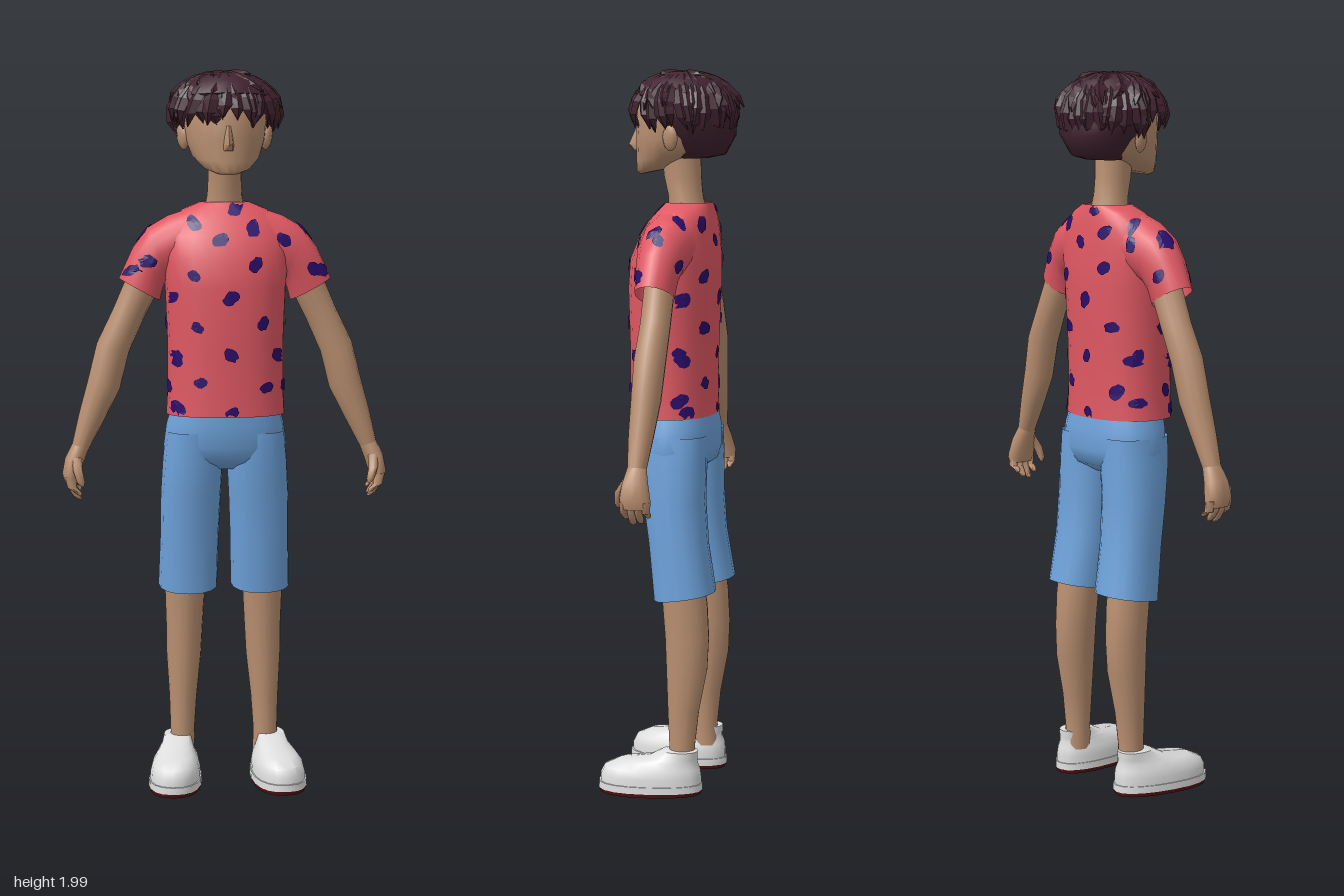
import * as THREE from 'three';
import { toCreasedNormals } from 'three/addons/utils/BufferGeometryUtils.js';

const mat = (name, color, double) => {
  const m = new THREE.MeshStandardMaterial({ color });
  m.name = name;
  if (double) m.side = THREE.DoubleSide;
  return m;
};

// Skin over rings: [x, y, z, halfWidth, halfDepth, roll = 0, slopeZ = 0].
// roll tilts a ring in the xy plane, slopeZ raises it towards +z; s = -1 mirrors it.
function loft(rings, { s = 1, sides = 16, power = 2, caps = true, crease = 0.95 } = {}) {
  const pos = [], idx = [];
  const bend = v => Math.sign(v) * Math.pow(Math.abs(v), 2 / power);
  for (const [x, y, z, a, b, roll = 0, slope = 0] of rings) {
    for (let i = 0; i < sides; i++) {
      const t = (i / sides) * Math.PI * 2;
      const u = a * bend(Math.cos(t)), w = b * bend(Math.sin(t));
      pos.push(s * (x + u * Math.cos(roll)), y + u * Math.sin(roll) + slope * w, z + w);
    }
  }
  for (let r = 0; r < rings.length - 1; r++) {
    for (let i = 0; i < sides; i++) {
      const j = (i + 1) % sides, p = r * sides, q = p + sides;
      idx.push(p + i, p + j, q + j, p + i, q + j, q + i);
    }
  }
  if (caps) {
    const first = rings[0], last = rings[rings.length - 1], n = pos.length / 3;
    pos.push(s * first[0], first[1], first[2], s * last[0], last[1], last[2]);
    const q = (rings.length - 1) * sides;
    for (let i = 0; i < sides; i++) {
      const j = (i + 1) % sides;
      idx.push(n, j, i, n + 1, q + i, q + j);
    }
  }
  // turn the faces outwards, judged by the enclosed volume
  const c = new THREE.Vector3(), v = [0, 1, 2].map(() => new THREE.Vector3());
  for (let i = 0; i < pos.length; i += 3) c.add(v[0].fromArray(pos, i));
  c.multiplyScalar(3 / pos.length);
  let volume = 0;
  for (let i = 0; i < idx.length; i += 3) {
    v.forEach((p, k) => p.fromArray(pos, idx[i + k] * 3).sub(c));
    volume += v[0].dot(v[1].cross(v[2]));
  }
  if (volume < 0) idx.reverse();
  const g = new THREE.BufferGeometry();
  g.setAttribute('position', new THREE.Float32BufferAttribute(pos, 3));
  g.setIndex(idx);
  return toCreasedNormals(g, crease);
}

export function createModel() {
  const model = new THREE.Group();
  const skin = mat('skin', 0xb98f70), hair = mat('hair', 0x40222e, true);
  const shirt = mat('shirt', 0xe05863, true), spot = mat('shirt spots', 0x2b0c6c, true);
  const denim = mat('shorts', 0x6ea3dc, true);
  const white = mat('shoe', 0xdedede), red = mat('sole', 0x5a1216);
  const add = (name, geo, m, parent = model) => {
    const mesh = new THREE.Mesh(geo, m);
    mesh.name = name;
    parent.add(mesh);
    return mesh;
  };

  // Head
  add('neck', loft([[0, 1.58, -.035, .06, .055], [0, 1.65, -.025, .048, .048],
    [0, 1.7, -.017, .046, .052], [0, 1.78, -.012, .05, .055]]), skin);
  add('head', loft([[0, 1.712, .066, .035, .036, 0, -.2], [0, 1.728, .045, .066, .066, 0, -.25],
    [0, 1.755, .015, .092, .096, 0, -.15], [0, 1.8, -.005, .108, .116], [0, 1.86, -.01, .114, .122],
    [0, 1.92, -.02, .105, .115], [0, 1.965, -.02, .06, .07]], { sides: 20 }), skin);
  add('nose', loft([[0, 1.835, .105, .007, .01], [0, 1.785, .112, .014, .026],
    [0, 1.77, .108, .013, .016]], { sides: 8 }), skin);
  for (const s of [1, -1]) {
    const ear = add('ear', new THREE.SphereGeometry(1, 10, 8), skin);
    ear.scale.set(.013, .035, .024);
    ear.position.set(s * .116, 1.805, -.015);
    ear.rotation.set(-.15, s * -.4, s * -.2);
  }

  // Hair: a cap under layers of pointed locks swept out from the crown
  add('hairCap', loft([[0, 1.98, -.02, .05, .05], [0, 1.957, -.02, .11, .11],
    [0, 1.91, -.022, .14, .135, 0, .1], [0, 1.855, -.035, .136, .128, 0, .35],
    [0, 1.795, -.045, .1, .09, 0, .4], [0, 1.75, -.05, .06, .04]], { sides: 20 }), hair);
  let seed = 7;
  const rand = (a, b) => a + (b - a) * ((seed = (seed * 16807) % 2147483647) / 2147483647);
  const lockPos = [];
  function lock(phi, from, to, width, lift, twist) {
    const rows = [];
    for (let k = 0; k <= 5; k++) {
      const t = k / 5, th = from + (to - from) * t, f = phi + twist * t * t;
      const r = 1 + .03 * Math.sin(Math.PI * t) + lift * t * t;
      const w = width * (k === 5 ? .02 : .45 + .9 * Math.sin(Math.PI * (.15 + .75 * t)) * .6);
      const at = (side, out) => new THREE.Vector3(
        .146 * r * out * Math.sin(th) * Math.sin(f) + side * w * Math.cos(f),
        1.87 + .11 * r * out * Math.cos(th),
        -.022 + .138 * r * out * Math.sin(th) * Math.cos(f) - side * w * Math.sin(f));
      rows.push([at(-1, .97), at(0, k === 5 ? 1 : 1.05), at(1, .97)]);
    }
    for (let k = 0; k < 5; k++) for (let i = 0; i < 2; i++) {
      const [a, b, c, d] = [rows[k][i], rows[k][i + 1], rows[k + 1][i + 1], rows[k + 1][i]];
      for (const p of [a, d, c, a, c, b]) lockPos.push(p.x, p.y, p.z);
    }
  }
  // long locks end at the fringe in front and at the nape behind
  for (let i = 0; i < 44; i++) {
    const phi = (i / 44) * Math.PI * 2, back = (1 - Math.cos(phi)) / 2;
    lock(phi, .35, 1.85 + .55 * back * back + rand(-.18, .16), .022, rand(-.04, .1) * (1 - .5 * back), rand(-.25, .25));
  }
  // short locks on top
  for (let i = 0; i < 34; i++) {
    lock(i * 2.4, rand(.02, .4), rand(.9, 1.55), .019, rand(0, .12), rand(-.4, .4));
  }
  // loose spikes on the crown and at the back
  for (const [phi, to, lift] of [[-.6, .6, .12], [.7, .55, .12], [2.2, .6, .12], [3.05, 1.45, .2], [3.65, 1.35, .2], [2.6, 1.7, .1]]) {
    lock(phi, .1, to, .015, lift, .2);
  }
  const lockGeo = new THREE.BufferGeometry();
  lockGeo.setAttribute('position', new THREE.Float32BufferAttribute(lockPos, 3));
  lockGeo.computeVertexNormals();
  add('hairLocks', lockGeo, hair);

  // Shirt
  const shirtParts = [add('shirtBody', loft([[0, 1.05, .005, .164, .116], [0, 1.12, .006, .16, .114],
    [0, 1.25, .005, .16, .116], [0, 1.4, .004, .166, .121], [0, 1.48, 0, .175, .117],
    [0, 1.54, -.01, .174, .1], [0, 1.58, -.02, .15, .087], [0, 1.61, -.03, .115, .072],
    [0, 1.63, -.036, .066, .062]], { sides: 24, power: 2.3, caps: false }), shirt)];
  for (const s of [1, -1]) {
    shirtParts.push(add('sleeve', loft([[.09, 1.53, -.015, .085, .078, 1.57], [.145, 1.512, -.012, .082, .074, 1.42],
      [.185, 1.49, -.01, .076, .066, 1.2], [.212, 1.452, -.008, .068, .058, .9],
      [.236, 1.392, -.007, .064, .052, .5]], { s, caps: false }), shirt));
  }

  // Spots: ragged discs laid on the shirt from the front, back, sides and above
  const ray = new THREE.Raycaster(), spotPos = [];
  function addSpot(map, dir, u, v) {
    const d = new THREE.Vector3(...dir);
    const hit = (p, q) => {
      ray.set(map(p, q).addScaledVector(d, -3), d);
      return ray.intersectObjects(shirtParts)[0];
    };
    const mid = hit(u, v);
    if (!mid) return;
    const size = rand(.019, .026), turn = rand(0, 3), n = 14, rings = [[], []];
    for (let i = 0; i < n; i++) {
      const t = (i / n) * Math.PI * 2, r = size * rand(.8, 1.1);
      [.5, 1].forEach((f, k) => {
        const p = r * f * Math.cos(t), q = r * f * .75 * Math.sin(t);
        const h = hit(u + p * Math.cos(turn) - q * Math.sin(turn), v + p * Math.sin(turn) + q * Math.cos(turn));
        rings[k].push(h && Math.abs(h.distance - mid.distance) < .05 ? h.point : mid.point);
      });
    }
    for (let i = 0; i < n; i++) {
      const j = (i + 1) % n, [a, b] = rings;
      for (const p of [mid.point, a[i], a[j], a[i], b[i], b[j], a[i], b[j], a[j]]) {
        const o = p.clone().addScaledVector(d, -.004);
        spotPos.push(o.x, o.y, o.z);
      }
    }
  }
  const V = (x, y, z) => new THREE.Vector3(x, y, z);
  const body = [[-.09, 1.575], [.025, 1.615], [-.02, 1.53], [.07, 1.56], [.155, 1.53], [-.215, 1.47], [.075, 1.465],
    [.24, 1.45], [-.095, 1.435], [.005, 1.375], [.165, 1.37], [-.15, 1.375], [-.085, 1.295], [.095, 1.305],
    [.005, 1.22], [.14, 1.215], [-.14, 1.21], [-.075, 1.145], [.105, 1.13], [-.135, 1.07], [.01, 1.065]];
  for (const [x, y] of body) {
    addSpot((p, q) => V(p, q, 0), [0, 0, -1], x, y);
    addSpot((p, q) => V(p, q, 0), [0, 0, 1], -x, y);
  }
  for (const s of [1, -1]) for (const [z, y] of [[-.015, 1.54], [.03, 1.445], [.02, 1.3], [-.05, 1.23], [.04, 1.13], [-.05, 1.1]]) {
    addSpot((p, q) => V(0, q, p), [-s, 0, 0], z, y);
  }
  for (const [x, z] of [[-.22, -.02], [-.14, -.06], [.21, 0], [.15, -.05]]) {
    addSpot((p, q) => V(p, 0, q), [0, -1, 0], x, z);
  }
  const spotGeo = new THREE.BufferGeometry();
  spotGeo.setAttribute('position', new THREE.Float32BufferAttribute(spotPos, 3));
  spotGeo.computeVertexNormals();
  add('shirtSpots', spotGeo, spot);

  // Shorts seat
  add('shortsSeat', loft([[0, 1.08, -.005, .145, .1], [0, 1.02, -.01, .163, .106], [0, .96, -.013, .171, .104],
    [0, .92, -.015, .165, .09], [0, .895, -.015, .1, .05]], { sides: 20, power: 2.3 }), denim);

  for (const s of [1, -1]) {
    // Arm and hand
    add('arm', loft([[.2, 1.48, -.015, .05, .042, .5], [.226, 1.41, -.018, .047, .041, .45], [.268, 1.32, -.02, .044, .041, .35],
      [.31, 1.23, -.018, .046, .043, .3], [.335, 1.13, -.015, .046, .04, .3], [.37, 1.04, -.012, .036, .034, .3],
      [.402, .955, -.01, .024, .026, .3]], { s, sides: 12 }), skin);
    const hand = new THREE.Group();
    hand.name = 'hand';
    model.add(hand);
    add('palm', loft([[.4, .96, -.01, .024, .026, .3], [.418, .92, -.01, .027, .036, .2],
      [.428, .88, -.012, .025, .043], [.427, .855, -.014, .018, .04]], { s, sides: 12 }), skin, hand);
    for (let f = 0; f < 4; f++) {
      const z = .018 - f * .02, end = [.825, .81, .815, .83][f];
      add('finger', loft([[.43, .875, z, .015, .012], [.426, .845, z, .013, .011], [.412, end + .01, z, .011, .01],
        [.404, end, z, .006, .006]], { s, sides: 8 }), skin, hand);
    }
    add('thumb', loft([[.412, .93, .012, .014, .014], [.41, .895, .036, .013, .013], [.402, .865, .042, .011, .01],
      [.398, .853, .042, .005, .005]], { s, sides: 8 }), skin, hand);

    // Shorts leg and bare leg
    add('shortsLeg', loft([[.085, 1, -.012, .08, .096], [.089, .92, -.015, .084, .094], [.095, .82, -.022, .084, .085],
      [.098, .7, -.035, .082, .081], [.102, .556, -.054, .083, .084, 0, -.17]],
      { s, power: 2.3, caps: false }), denim);
    add('leg', loft([[.108, .68, -.04, .058, .06], [.11, .53, -.056, .056, .063], [.111, .44, -.062, .052, .062],
      [.113, .35, -.062, .049, .058], [.116, .23, -.053, .039, .044], [.118, .13, -.05, .034, .036],
      [.118, .07, -.05, .036, .04]], { s }), skin);

    // Shoe, widening towards the toe
    const shoe = new THREE.Group();
    shoe.name = 'shoe';
    shoe.position.x = s * .138;
    shoe.rotation.y = s * .12;
    model.add(shoe);
    const shoePart = (name, rings, m) => {
      const geo = loft(rings, { s, sides: 20, power: 2.3, crease: .8 }), p = geo.attributes.position;
      for (let i = 0; i < p.count; i++) p.setX(i, p.getX(i) * (.96 + .9 * p.getZ(i)));
      add(name, geo, m, shoe);
    };
    shoePart('sole', [[0, 0, .035, .07, .142], [0, .011, .035, .073, .146]], red);
    shoePart('rim', [[0, .011, .035, .074, .147], [0, .03, .035, .073, .146]], white);
    shoePart('upper', [[0, .025, .034, .07, .142], [0, .05, .034, .069, .142], [0, .072, .03, .064, .135],
      [0, .09, .014, .053, .112], [0, .101, -.028, .046, .07], [0, .122, -.048, .042, .05]], white);
  }
  return model;
}
